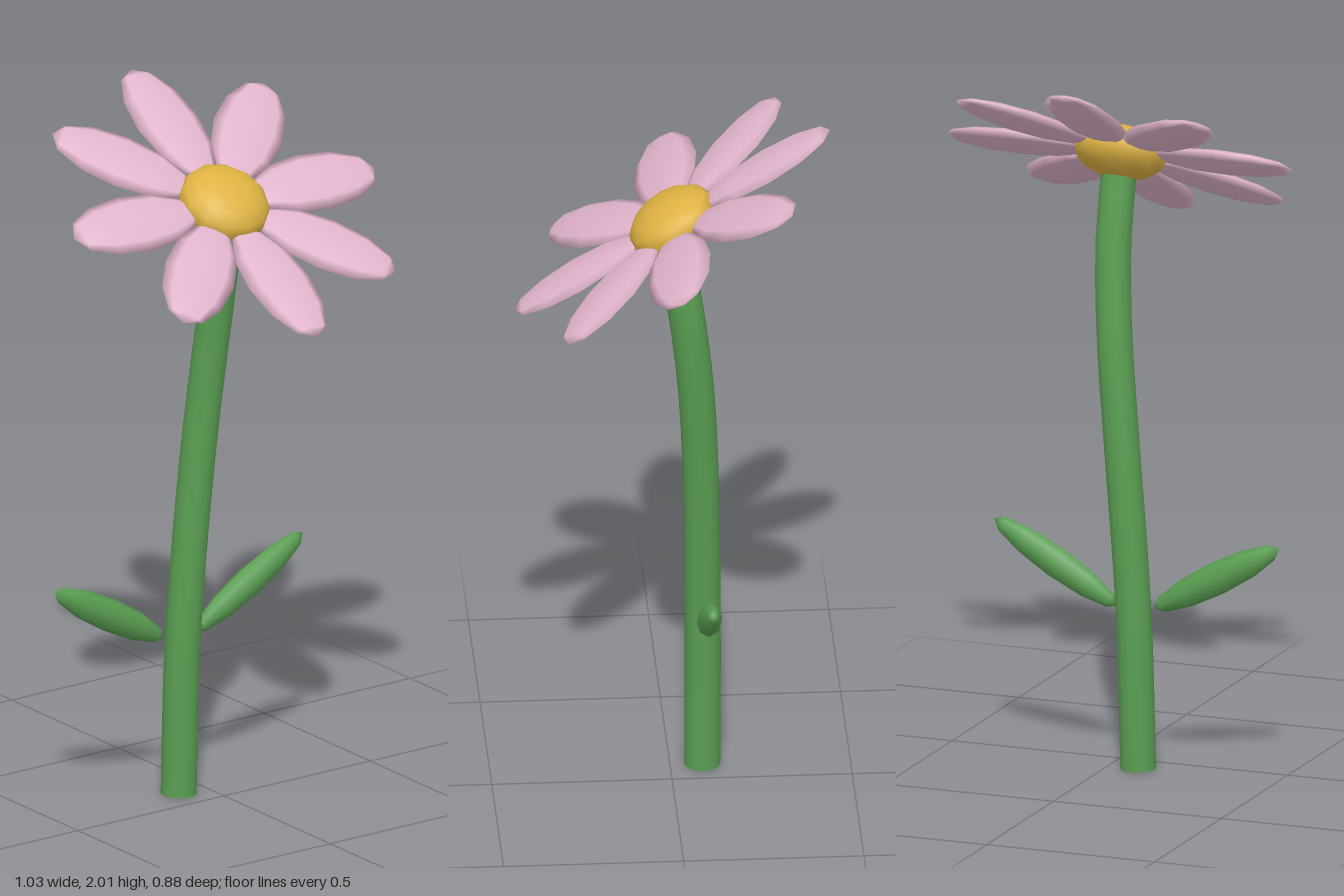
import * as THREE from 'three';

const material = (name, color) => {
  const m = new THREE.MeshStandardMaterial({ color });
  m.name = name;
  return m;
};

// Smooth low-poly ellipsoid with its poles along local x
function ellipsoid(name, mat, length, height, width, segments = 10) {
  const geo = new THREE.SphereGeometry(1, segments, 6);
  geo.rotateZ(-Math.PI / 2);
  geo.scale(length, height, width);
  const mesh = new THREE.Mesh(geo, mat);
  mesh.name = name;
  return mesh;
}

export function createModel() {
  const green = material('stem green', 0x5a9e52);
  const pink = material('petal pink', 0xe0b4cb);
  const yellow = material('centre yellow', 0xdeb243);
  const model = new THREE.Group();
  model.name = 'flower';

  // Curved stem, leaning forward under the flower head
  const path = new THREE.CatmullRomCurve3([
    [-0.09, 0, -0.09], [-0.076, 0.45, -0.09], [-0.035, 0.95, -0.081],
    [-0.01, 1.22, -0.066], [0.006, 1.48, -0.035], [0.002, 1.71, 0.005],
  ].map((p) => new THREE.Vector3(...p)));
  const stem = new THREE.Mesh(new THREE.TubeGeometry(path, 16, 0.05, 12), green);
  stem.name = 'stem';
  model.add(stem);

  // Flat cap on the cut end
  const cap = new THREE.Mesh(new THREE.CircleGeometry(0.05, 12), green);
  cap.name = 'stemBase';
  cap.rotation.x = Math.PI / 2;
  cap.position.set(-0.09, 0.001, -0.09);
  model.add(cap);

  // Two leaves rising to either side
  for (const [name, x, tilt] of [['leftLeaf', 0.153, 0.53], ['rightLeaf', -0.325, -0.51]]) {
    const leaf = ellipsoid(name, green, 0.214, 0.046, 0.034, 8);
    leaf.position.set(x, 0.568, -0.094);
    leaf.rotation.z = tilt;
    model.add(leaf);
  }

  // Flower head, tipped towards the front
  const head = new THREE.Group();
  head.name = 'flowerHead';
  head.position.set(0, 1.735, 0);
  head.rotation.x = 0.55;
  model.add(head);

  const disc = new THREE.Mesh(new THREE.SphereGeometry(0.132, 12, 8), yellow);
  disc.name = 'flowerCentre';
  disc.scale.y = 0.55;
  head.add(disc);

  // Ring of eight petals
  for (let i = 0; i < 8; i++) {
    const petal = ellipsoid('petal', pink, 0.207, 0.021, 0.102, 8);
    const a = (i * Math.PI) / 4;
    petal.position.set(0.307 * Math.cos(a), 0, -0.307 * Math.sin(a));
    petal.rotation.y = a;
    head.add(petal);
  }
  return model;
}
